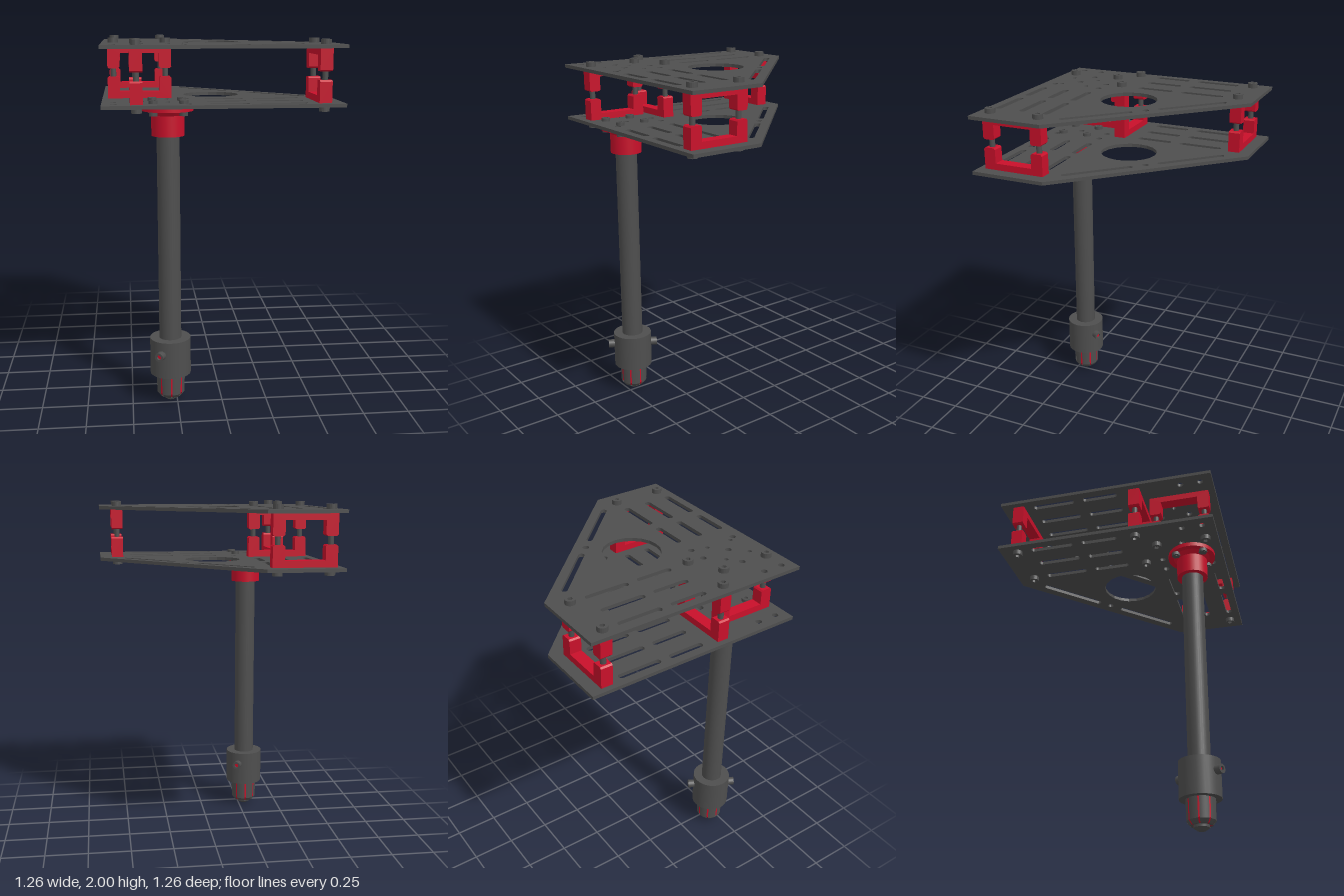
import * as THREE from 'three';

const grey = new THREE.MeshStandardMaterial({ color: 0x4e4e4e });
const red = new THREE.MeshStandardMaterial({ color: 0xc8102a });
const greyOpen = new THREE.MeshStandardMaterial({ color: 0x4e4e4e, side: THREE.DoubleSide });
const V = (x, y) => new THREE.Vector2(x, y);
const POLE_X = -0.285, POLE_Z = 0.45;
const PLATES = [1.675, 1.975], THICK = 0.019; // plate top heights

function add(parent, name, geometry, material, x = 0, y = 0, z = 0) {
  const mesh = new THREE.Mesh(geometry, material);
  mesh.name = name;
  mesh.position.set(x, y, z);
  parent.add(mesh);
  return mesh;
}

function circle(x, y, r) {
  return new THREE.Path().absarc(x, y, r, 0, Math.PI * 2, false);
}

// Round-ended slot between two end centres
function slot(x1, y1, x2, y2, r = 0.0175) {
  const a = Math.atan2(y2 - y1, x2 - x1), h = Math.PI / 2;
  const p = new THREE.Path();
  p.absarc(x2, y2, r, a - h, a + h, false);
  p.absarc(x1, y1, r, a + h, a + 3 * h, false);
  p.closePath();
  return p;
}

// Five-sided plate; shape y becomes model z, top face at y = 0
function plateGeometry() {
  const s = new THREE.Shape([V(-0.63, -0.63), V(-0.21, -0.63), V(0.63, 0.21), V(0.63, 0.63), V(-0.63, 0.63)]);
  s.holes.push(circle(-0.014, 0.01, 0.158));
  for (const c of [-0.567, -0.425, -0.283]) {
    s.holes.push(slot(c, -0.427, c, -0.212), slot(c, -0.122, c, 0.05));
    s.holes.push(slot(-0.055, -c, 0.118, -c), slot(0.21, -c, 0.425, -c));
  }
  s.holes.push(slot(-0.16, -0.488, 0.1, -0.23, 0.0165), slot(0.227, -0.1, 0.485, 0.158, 0.0165));
  const drilled = [[0.16, -0.165], [-0.283, 0.277], [-0.18, 0.277], [-0.567, 0.445],
    [-0.567, 0.56], [-0.18, 0.56], [-0.425, 0.42], [-0.283, 0.445]];
  for (const [x, z] of drilled) s.holes.push(circle(x, z, 0.0175));
  for (const dx of [-0.079, 0.079]) for (const dz of [-0.079, 0.079]) {
    s.holes.push(circle(-0.281 + dx, 0.446 + dz, 0.012));
  }
  return new THREE.ExtrudeGeometry(s, { depth: THICK, bevelEnabled: false, curveSegments: 10 }).rotateX(Math.PI / 2);
}

// Round bolt head with a hexagonal socket, lying on y = 0
function headGeometry(r, h) {
  const s = new THREE.Shape().absarc(0, 0, r, 0, Math.PI * 2, false);
  const hex = [];
  for (let i = 0; i < 6; i++) hex.push(V(Math.cos(i * Math.PI / 3) * r * 0.5, Math.sin(i * Math.PI / 3) * r * 0.5));
  s.holes.push(new THREE.Path(hex));
  return new THREE.ExtrudeGeometry(s, { depth: h, bevelEnabled: false, curveSegments: 10 }).rotateX(-Math.PI / 2);
}

// U-shaped clamp half, feet up, base on y = 0
function clampGeometry() {
  const w = 0.174, i = 0.108, h = 0.118, b = 0.036, c = 0.008;
  const s = new THREE.Shape([V(-w, 0), V(w, 0), V(w, h - c), V(w - c, h), V(i + c, h), V(i, h - c),
    V(i, b), V(-i, b), V(-i, h - c), V(-i - c, h), V(-w + c, h), V(-w, h - c)]);
  return new THREE.ExtrudeGeometry(s, { depth: 0.066, bevelEnabled: false }).translate(0, 0, -0.033);
}

// Two facing clamp halves with their pair of through bolts
function clampPair(name, x, z, turn) {
  const g = new THREE.Group();
  g.name = name;
  const clamp = clampGeometry(), head = headGeometry(0.028, 0.026);
  add(g, 'lowerClamp', clamp, red, 0, PLATES[0], 0);
  add(g, 'upperClamp', clamp, red, 0, PLATES[1] - THICK, 0).rotation.x = Math.PI;
  for (const side of [-0.142, 0.142]) {
    add(g, 'boltShaft', new THREE.CylinderGeometry(0.0155, 0.0155, 0.34, 16), grey, side, 1.815, 0);
    add(g, 'boltHead', head, grey, side, PLATES[1], 0);
    add(g, 'boltEnd', head, grey, side, PLATES[0] - THICK, 0).rotation.x = Math.PI;
  }
  g.position.set(x, 0, z);
  g.rotation.y = turn;
  return g;
}

// Lathe from [radius, height] pairs with crisp edges (each point doubled)
function turned(pairs, start = 0, length = Math.PI * 2, segments = 32) {
  const pts = [];
  for (const [r, y] of pairs) pts.push(V(r, y), V(r, y));
  return new THREE.LatheGeometry(pts, segments, start, length);
}

function mast() {
  const g = new THREE.Group();
  g.name = 'mast';
  g.position.set(POLE_X, 0, POLE_Z);

  add(g, 'pole', new THREE.CylinderGeometry(0.061, 0.061, 1.3, 32), grey, 0, 0.98, 0);
  add(g, 'flangeSocket', turned([[0.06, 1.5], [0.088, 1.5], [0.088, 1.61], [0.105, 1.632],
    [0.136, 1.632], [0.136, 1.656], [0, 1.656]]), red);

  // Four flange screws with nuts
  const head = headGeometry(0.024, 0.018);
  for (const dx of [-0.079, 0.079]) for (const dz of [-0.079, 0.079]) {
    add(g, 'flangeScrewHead', head, grey, dx, PLATES[0], dz);
    add(g, 'flangeScrewShaft', new THREE.CylinderGeometry(0.012, 0.012, 0.07, 12), grey, dx, 1.645, dz);
    add(g, 'flangeNut', new THREE.CylinderGeometry(0.025, 0.025, 0.02, 6), grey, dx, 1.622, dz);
  }

  // Collar around the lower end, with a cross bolt
  add(g, 'collar', turned([[0, 0.165], [0.113, 0.165], [0.113, 0.372], [0.06, 0.372]]), grey);
  const cross = new THREE.Group();
  cross.name = 'crossBolt';
  cross.position.y = 0.3;
  cross.rotation.y = -0.5;
  const ring = turned([[0.013, 0.105], [0.025, 0.105], [0.025, 0.147], [0.013, 0.147], [0.013, 0.105]], 0, Math.PI * 2, 20);
  for (const s of [-1, 1]) add(cross, 'crossBoltHead', ring, greyOpen).rotation.x = s * Math.PI / 2;
  add(cross, 'crossBoltCore', new THREE.CylinderGeometry(0.0135, 0.0135, 0.27, 16), red).rotation.x = Math.PI / 2;
  g.add(cross);

  // Split foot: red core gripped by grey fingers
  add(g, 'footCore', turned([[0, 0.032], [0.058, 0.032], [0.073, 0.055], [0.073, 0.165]]), red);
  const fingers = 8, step = Math.PI * 2 / fingers;
  for (let i = 0; i < fingers; i++) {
    add(g, 'footFinger', turned([[0.045, 0.028], [0.06, 0.028], [0.077, 0.05], [0.079, 0.165]],
      i * step + 0.06, step - 0.12, 5), greyOpen);
  }
  add(g, 'footTip', turned([[0, 0], [0.022, 0.002], [0.042, 0.016], [0.042, 0.04]]), grey);
  return g;
}

export function createModel() {
  const model = new THREE.Group();
  model.name = 'plateStand';

  const plate = plateGeometry();
  add(model, 'lowerPlate', plate, grey, 0, PLATES[0], 0);
  add(model, 'upperPlate', plate, grey, 0, PLATES[1], 0);

  model.add(
    clampPair('backClamp', -0.425, -0.53, 0),
    clampPair('middleClamp', -0.425, 0.176, 0),
    clampPair('rightClamp', -0.45, 0.418, Math.PI / 2),
    clampPair('leftClamp', 0.527, 0.418, Math.PI / 2),
    mast()
  );
  return model;
}
